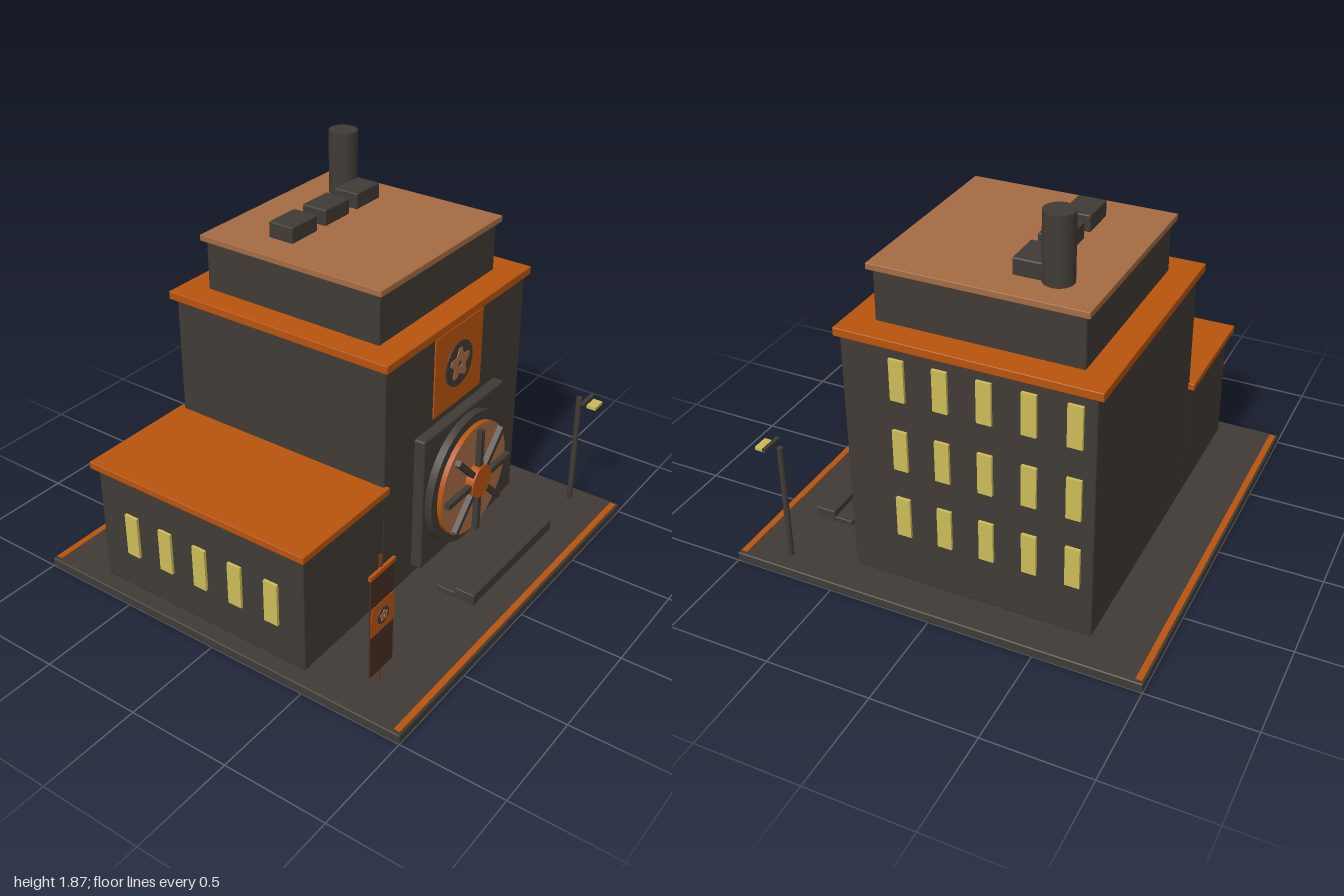
import * as THREE from 'three';
import { RoundedBoxGeometry } from 'three/addons/geometries/RoundedBoxGeometry.js';

const mat = (name, color) => {
  const m = new THREE.MeshStandardMaterial({ color });
  m.name = name;
  return m;
};

export function createModel() {
  const dark = mat('charcoal', 0x403b35);
  const orange = mat('burnt orange', 0xb8530d);
  const tan = mat('copper tan', 0xa56b43);
  const yellow = mat('window yellow', 0xcdbb58);
  const brown = mat('banner brown', 0x482d22);
  const poleBrown = mat('pole brown', 0x6b3818);

  const model = new THREE.Group();
  model.name = 'factoryBuilding';

  const add = (name, geometry, material, parent = model) => {
    const mesh = new THREE.Mesh(geometry, material);
    mesh.name = name;
    parent.add(mesh);
    return mesh;
  };
  // Box given by its limits on each axis; bevel softens the edges
  const box = (name, material, [x0, x1], [y0, y1], [z0, z1], bevel = 0, parent = model) => {
    const s = [x1 - x0, y1 - y0, z1 - z0];
    const g = bevel ? new RoundedBoxGeometry(...s, 1, bevel) : new THREE.BoxGeometry(...s);
    const mesh = add(name, g, material, parent);
    mesh.position.set((x0 + x1) / 2, (y0 + y1) / 2, (z0 + z1) / 2);
    return mesh;
  };
  // Disc or drum facing +z
  const drum = (name, material, r, x, y, [z0, z1], sides = 40, parent = model) => {
    const g = new THREE.CylinderGeometry(r, r, z1 - z0, sides).rotateX(Math.PI / 2);
    const mesh = add(name, g, material, parent);
    mesh.position.set(x, y, (z0 + z1) / 2);
    return mesh;
  };
  const post = (name, material, r, x, z, [y0, y1], sides = 12, parent = model) => {
    const mesh = add(name, new THREE.CylinderGeometry(r, r, y1 - y0, sides), material, parent);
    mesh.position.set(x, (y0 + y1) / 2, z);
    return mesh;
  };
  // Dark disc carrying a five-pointed star with a hole in the middle
  const emblem = (name, r, x, y, z) => {
    const group = new THREE.Group();
    group.name = name;
    model.add(group);
    drum('emblemDisc', dark, r, x, y, [z, z + 0.004], 32, group);
    const star = new THREE.Shape();
    for (let i = 0; i < 10; i++) {
      const a = Math.PI / 2 + (i * Math.PI) / 5;
      const k = r * (i % 2 ? 0.43 : 0.72);
      // Blunt tips: two points per outer corner
      if (i % 2) star.lineTo(k * Math.cos(a), k * Math.sin(a));
      else for (const d of [-0.14, 0.14]) {
        const px = k * Math.cos(a + d), py = k * Math.sin(a + d);
        i === 0 && d < 0 ? star.moveTo(px, py) : star.lineTo(px, py);
      }
    }
    star.closePath();
    const hole = new THREE.Path();
    hole.absarc(0, 0, r * 0.14, 0, Math.PI * 2, true);
    star.holes.push(hole);
    const g = new THREE.ExtrudeGeometry(star, { depth: 0.004, bevelEnabled: false, curveSegments: 6 });
    add('emblemStar', g, tan, group).position.set(x, y, z + 0.004);
  };

  // Ground slab with painted edge strips
  box('groundSlab', dark, [-1, 1], [0, 0.045], [-1, 1], 0.006);
  for (const z of [-0.975, 0.975])
    box('edgeStrip', orange, [-0.98, 0.98], [0.043, 0.05], [z - 0.015, z + 0.015]);

  // Main tower, upper storey and their roofs
  box('tower', dark, [-0.34, 0.83], [0.045, 1.255], [-0.7, 0.46], 0.008);
  box('towerCornice', orange, [-0.36, 0.85], [1.25, 1.29], [-0.73, 0.48], 0.004);
  box('upperStorey', dark, [-0.23, 0.72], [1.285, 1.535], [-0.6, 0.35], 0.008);
  box('upperRoof', tan, [-0.25, 0.74], [1.53, 1.56], [-0.62, 0.37], 0.003);

  // Side wing
  box('wing', dark, [-0.92, -0.335], [0.045, 0.64], [-0.7, 0.46], 0.008);
  box('wingRoof', orange, [-0.945, -0.32], [0.635, 0.67], [-0.73, 0.48], 0.004);

  // Roof vents and chimney
  for (const x of [0, 0.245, 0.49])
    box('roofVent', dark, [x - 0.092, x + 0.092], [1.56, 1.638], [-0.348, -0.215], 0.006);
  post('chimney', dark, 0.069, 0.55, -0.405, [1.56, 1.87], 20);

  // Windows on the tower side and the wing side
  for (let i = 0; i < 5; i++) {
    const z = 0.19 - i * 0.2;
    for (const y of [0.3, 0.65, 1.0])
      box('towerWindow', yellow, [0.828, 0.844], [y, y + 0.2], [z - 0.034, z + 0.034]);
    const wz = 0.29 - i * 0.2;
    box('wingWindow', yellow, [-0.934, -0.918], [0.235, 0.45], [wz - 0.036, wz + 0.036]);
  }

  // Sign panel above the fan
  box('signPanel', orange, [0.04, 0.44], [0.835, 1.235], [0.458, 0.467]);
  emblem('signEmblem', 0.113, 0.24, 1.035, 0.467);

  // Large fan on the front wall
  const fan = new THREE.Group();
  fan.name = 'fan';
  model.add(fan);
  const fx = 0.243, fy = 0.45;
  box('fanHousing', dark, [fx - 0.348, fx + 0.348], [0.1, 0.8], [0.455, 0.515], 0.01, fan);
  drum('fanRing', dark, 0.33, fx, fy, [0.51, 0.552], 48, fan);
  drum('fanDisc', [orange, tan, tan], 0.284, fx, fy, [0.55, 0.577], 48, fan);
  drum('fanHub', orange, 0.083, fx, fy, [0.57, 0.622], 24, fan);
  for (let i = 0; i < 8; i++) {
    const g = new THREE.BoxGeometry(0.205, 0.028, 0.028).translate(0.172, 0, 0);
    const blade = add('fanBlade', g, dark, fan);
    blade.position.set(fx, fy, 0.6);
    blade.rotation.z = (i * Math.PI) / 4;
  }

  // Low platform in front of the fan
  box('rearStep', dark, [-0.123, 0.61], [0.04, 0.072], [0.622, 0.715], 0.004);
  box('frontStep', dark, [-0.123, 0.61], [0.04, 0.1], [0.715, 0.817], 0.004);

  // Banner on its pole
  post('bannerPole', poleBrown, 0.009, -0.772, 0.74, [0.045, 0.697]);
  box('bannerCloth', brown, [-0.855, -0.69], [0.112, 0.63], [0.745, 0.753]);
  box('bannerBar', orange, [-0.862, -0.683], [0.625, 0.645], [0.743, 0.757]);
  box('bannerBand', orange, [-0.855, -0.69], [0.328, 0.475], [0.753, 0.756]);
  emblem('bannerEmblem', 0.04, -0.772, 0.402, 0.756);

  // Street lamp
  post('lampPost', dark, 0.014, 0.905, 0.768, [0.045, 0.64]);
  box('lampArm', dark, [0.85, 0.96], [0.637, 0.651], [0.805, 0.823]);
  box('lampLight', yellow, [0.865, 0.942], [0.62, 0.636], [0.828, 0.875]);

  return model;
}
